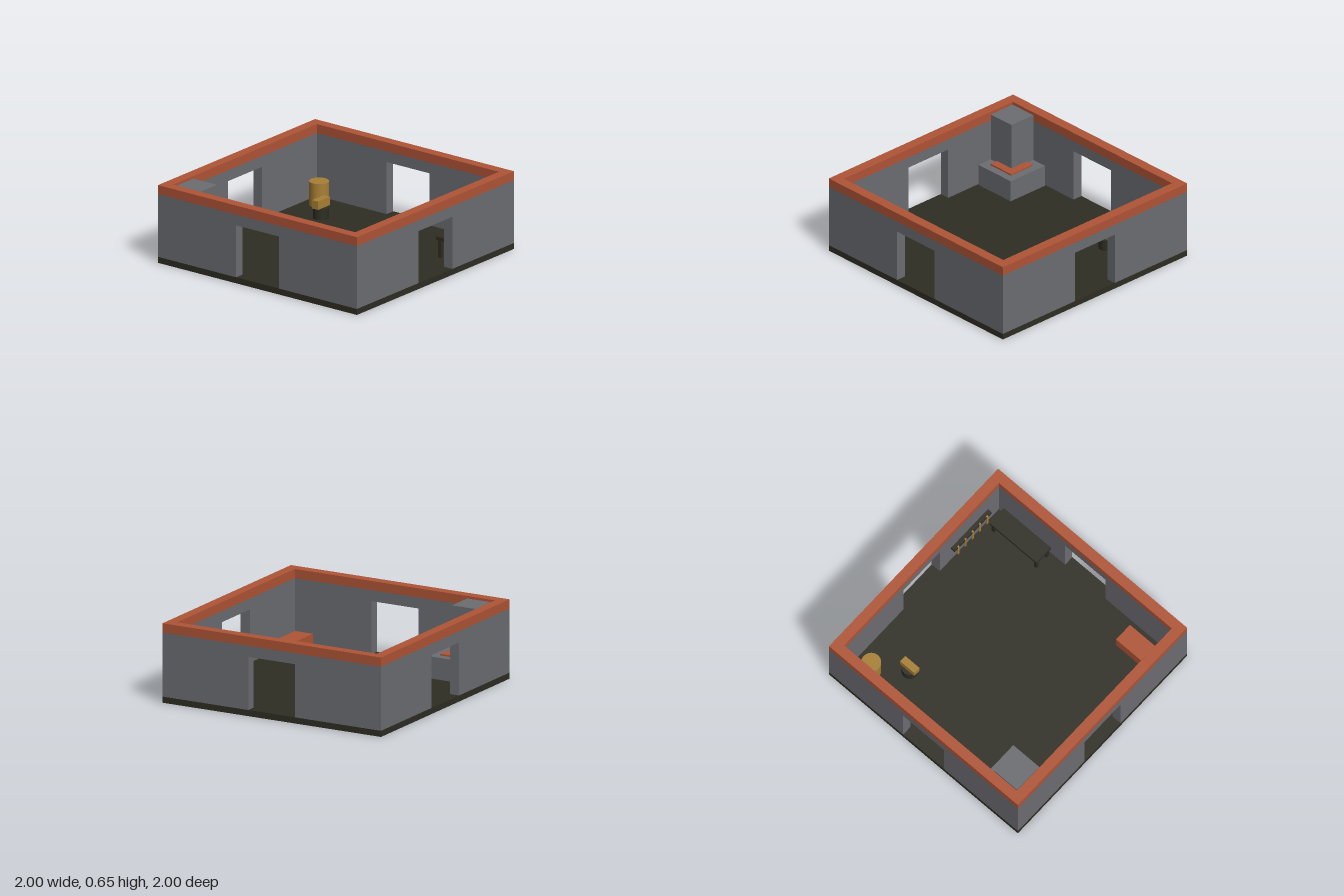
import * as THREE from 'three';

const mat = (name, color) => {
  const m = new THREE.MeshStandardMaterial({ color });
  m.name = name;
  return m;
};

export function createModel() {
  const model = new THREE.Group();
  model.name = 'openForge';

  const stone = mat('greyStone', 0x6c6d72);
  const dark = mat('darkWood', 0x2e2d23);
  const rust = mat('rustRed', 0xb05436);
  const gold = mat('ochre', 0xa88035);

  const add = (name, geometry, material, parent = model) => {
    const mesh = new THREE.Mesh(geometry, material);
    mesh.name = name;
    parent.add(mesh);
    return mesh;
  };
  // Box given by its lower and upper limits on each axis
  const box = (name, material, [x0, x1], [y0, y1], [z0, z1], parent) => {
    const mesh = add(name, new THREE.BoxGeometry(x1 - x0, y1 - y0, z1 - z0), material, parent);
    mesh.position.set((x0 + x1) / 2, (y0 + y1) / 2, (z0 + z1) / 2);
    return mesh;
  };
  const group = (name) => {
    const g = new THREE.Group();
    g.name = name;
    model.add(g);
    return g;
  };

  const FLOOR = 0.05, WALL_TOP = 0.575, T = 0.085, DOOR = 0.215, DOOR_TOP = 0.485;

  // Floor slab
  box('floor', dark, [-1, 1], [0, FLOOR], [-1, 1]);

  // Four walls, each with a central doorway
  const walls = group('walls');
  for (let i = 0; i < 4; i++) {
    const half = i % 2 ? 1 - T : 1;
    const outline = new THREE.Shape([
      [-half, FLOOR], [-DOOR, FLOOR], [-DOOR, DOOR_TOP], [DOOR, DOOR_TOP],
      [DOOR, FLOOR], [half, FLOOR], [half, WALL_TOP], [-half, WALL_TOP],
    ].map(([x, y]) => new THREE.Vector2(x, y)));
    const geometry = new THREE.ExtrudeGeometry(outline, { depth: T, bevelEnabled: false });
    geometry.translate(0, 0, 1 - T).rotateY(i * Math.PI / 2);
    add('wall', geometry, stone, walls);
  }

  // Coping ring on top of the walls
  const square = (r) => [[-r, -r], [r, -r], [r, r], [-r, r]].map(([x, y]) => new THREE.Vector2(x, y));
  const ring = new THREE.Shape(square(1));
  ring.holes.push(new THREE.Path(square(1 - T)));
  const coping = new THREE.ExtrudeGeometry(ring, { depth: 0.65 - WALL_TOP, bevelEnabled: false });
  coping.rotateX(-Math.PI / 2).translate(0, WALL_TOP, 0);
  add('coping', coping, rust);

  // Hearth with coals and chimney
  const hearth = group('hearth');
  box('hearthBase', stone, [-0.905, -0.535], [FLOOR, 0.23], [-0.905, -0.535], hearth);
  box('coals', rust, [-0.835, -0.6], [0.225, 0.243], [-0.835, -0.6], hearth);
  box('chimney', stone, [-0.905, -0.668], [0.23, 0.633], [-0.905, -0.668], hearth);

  // Anvil on a stump
  const anvil = group('anvil');
  add('stump', new THREE.CylinderGeometry(0.065, 0.065, 0.09, 16), dark, anvil)
    .position.set(0.53, 0.095, -0.57);
  box('anvilBlock', gold, [0.455, 0.605], [0.14, 0.21], [-0.6, -0.54], anvil);

  // Barrel in the back corner
  add('barrel', new THREE.CylinderGeometry(0.08, 0.08, 0.2, 18), gold).position.set(0.76, 0.15, -0.77);

  // Chest near the front wall
  box('chest', rust, [-0.8, -0.535], [FLOOR, 0.18], [0.68, 0.845]);

  // Workbench
  const bench = group('workbench');
  box('benchTop', dark, [0.35, 0.85], [0.195, 0.225], [0.73, 0.9], bench);
  for (const x of [0.375, 0.825]) {
    for (const z of [0.755, 0.875]) {
      box('benchLeg', dark, [x - 0.013, x + 0.013], [FLOOR, 0.195], [z - 0.013, z + 0.013], bench);
    }
  }

  // Wall rail with five hanging tools
  const rack = group('toolRack');
  box('rail', dark, [0.877, 0.915], [0.28, 0.315], [0.35, 0.785], rack);
  for (let i = 0; i < 5; i++) {
    const z = 0.395 + i * 0.085;
    box('tool', gold, [0.874, 0.886], [0.155, 0.318], [z - 0.008, z + 0.008], rack);
  }

  return model;
}
